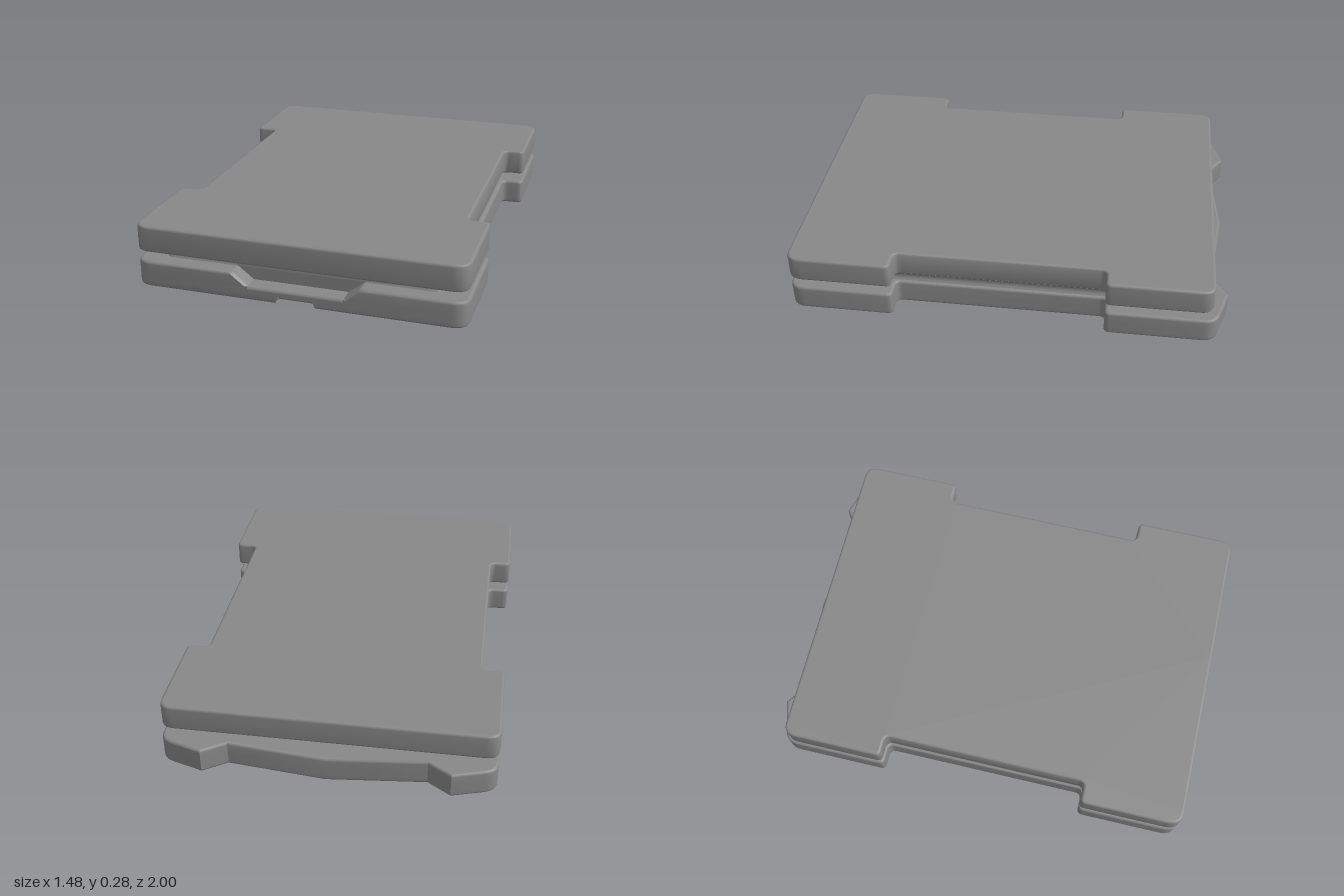
import * as THREE from 'three';
import { toCreasedNormals } from 'three/addons/utils/BufferGeometryUtils.js';

const V = (x, z) => new THREE.Vector2(x, z);
const material = new THREE.MeshStandardMaterial({ color: 0x888888 });

// Closed outline from a half profile [x, z, cornerRadius], front to back, mirrored in x
function outline(half) {
  const mirror = half.filter(p => p[0] > 0).reverse().map(([x, z, r]) => [-x, z, r]);
  const corners = [...half, ...mirror];
  const points = [];
  corners.forEach(([x, z, r], i) => {
    const p = V(x, z);
    if (!r) { points.push(p); return; }
    const before = corners[(i + corners.length - 1) % corners.length];
    const after = corners[(i + 1) % corners.length];
    const a = p.clone().add(V(before[0] - x, before[1] - z).setLength(r));
    const b = p.clone().add(V(after[0] - x, after[1] - z).setLength(r));
    points.push(...new THREE.QuadraticBezierCurve(a, p, b).getPoints(6));
  });
  return points;
}

// Move every outline point inward by d
function inset(points, d) {
  const n = points.length;
  return points.map((p, i) => {
    const e = p.clone().sub(points[(i + n - 1) % n]).normalize();
    const f = points[(i + 1) % n].clone().sub(p).normalize();
    const m = V(e.y + f.y, -e.x - f.x).normalize();
    return p.clone().addScaledVector(m, d / Math.max(0.5, m.dot(V(e.y, -e.x))));
  });
}

// Loft an outline through rings {y, d: inset, w, g, c: half width, depth and chamfer of a front gap}
function loft(name, base, rings) {
  const loops = rings.map(({ d, w = 0.1, g = 0, c = 0 }) => {
    const loop = inset(base, d);
    const z = loop[0].y;
    return [V(w, z - g), V(w, z - c), V(w + c, z), ...loop, V(-w - c, z), V(-w, z - c), V(-w, z - g)];
  });
  const n = loops[0].length, pos = [], index = [];
  loops.forEach((loop, k) => loop.forEach(p => pos.push(p.x, rings[k].y, p.y)));
  for (let k = 0; k < rings.length - 1; k++) {
    for (let i = 0; i < n; i++) {
      const a = k * n + i, b = k * n + (i + 1) % n;
      index.push(a, b, b + n, a, b + n, a + n);
    }
  }
  // End caps
  const wallCount = index.length;
  for (const k of [0, rings.length - 1]) {
    const flat = loops[k].map(p => V(p.x, -p.y));
    for (const [a, b, c] of THREE.ShapeUtils.triangulateShape(flat, [])) {
      const up = THREE.ShapeUtils.area([flat[a], flat[b], flat[c]]) > 0;
      const o = k * n;
      if (up === (k > 0)) index.push(o + a, o + b, o + c);
      else index.push(o + a, o + c, o + b);
    }
  }
  const geo = new THREE.BufferGeometry();
  geo.setAttribute('position', new THREE.Float32BufferAttribute(pos, 3));
  geo.setIndex(index);
  const creased = toCreasedNormals(geo, 0.45);
  // Keep the caps perfectly flat
  const { position, normal } = creased.attributes;
  for (let i = wallCount; i < normal.count; i++) {
    normal.setXYZ(i, 0, position.getY(i) > rings[0].y + 0.001 ? 1 : -1, 0);
  }
  const mesh = new THREE.Mesh(creased, material);
  mesh.name = name;
  return mesh;
}

// Rounded edge: rings from the flat face at y into the side wall (dir +1 up, -1 down)
const R = 0.013, STEPS = 6;
const edge = (y, dir, extra = () => ({})) => Array.from({ length: STEPS + 1 }, (_, i) => {
  const t = i / STEPS, a = t * Math.PI / 2;
  const d = R * (1 - Math.sin(a));
  return { y: y + dir * R * (1 - Math.cos(a)), d, ...extra(t, d) };
});

export function createModel() {
  const group = new THREE.Group();
  group.name = 'plateAssembly';

  // Shared front and waist of both plates
  const side = [
    [0.74, 1, 0.07], [0.74, 0.52, 0.025], [0.64, 0.52, 0.03],
    [0.64, -0.447, 0.03], [0.74, -0.447, 0.025],
  ];

  // Lower plate with two rear horns, a latch notch and a round-edged finger recess in front
  const lower = outline([...side,
    [0.74, -0.94, 0.055], [0.545, -1, 0], [0.44, -0.93, 0], [0, -0.975, 0]]);
  const depth = 0.078;
  group.add(loft('lowerPlate', lower, [
    ...edge(0, 1, t => ({ w: 0.092 - 0.006 * t, g: 0.04 })),
    { y: 0.032, d: 0, w: 0.078, g: 0.04 },
    { y: 0.032, d: 0, w: 0.078 },
    ...edge(0.063, -1, (t, d) => ({ d: 0, w: 0.215, g: d })).reverse(),
    { y: 0.063, d: 0, w: 0.215, g: depth, c: R },
    ...edge(0.12, -1, (t, d) => ({ w: 0.295 - 0.024 * t, g: depth - d, c: R })).reverse(),
  ]));

  // Recessed core between the plates: hollow rim, flush with the recess wall in front
  const core = outline([[0.637, 0.937, 0.06], [0.637, -0.86, 0.06]]);
  const hollow = 0.015;
  const rim = Array.from({ length: 13 }, (_, i) => {
    const t = i / 12;
    const d = hollow * Math.sqrt(Math.max(0, Math.sin(Math.PI * t)));
    return { y: 0.117 + 0.05 * t, d, w: 0.29, g: t < 0.5 ? hollow - d : 0 };
  });
  group.add(loft('core', core, rim));

  // Upper plate with a straight rear edge
  const upper = outline([...side, [0.74, -0.925, 0.06]]);
  group.add(loft('upperPlate', upper, [...edge(0.163, 1), ...edge(0.284, -1).reverse()]));

  return group;
}
